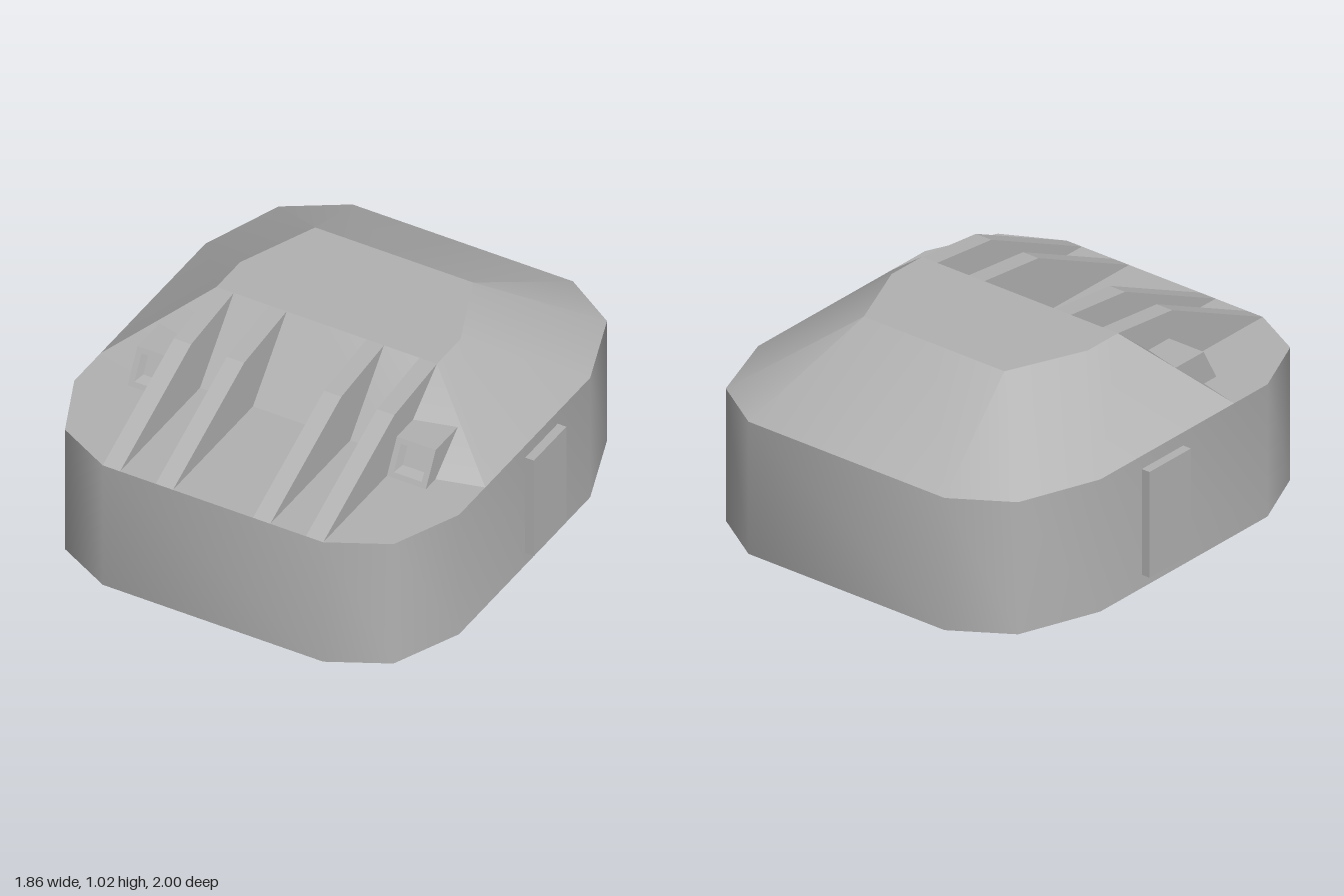
import * as THREE from 'three';
import { toCreasedNormals } from 'three/addons/utils/BufferGeometryUtils.js';

// Fan-triangulates convex polygons given for the +x side and mirrors them to -x
function polygons(polys, sides = [1, -1]) {
  const pos = [];
  for (const s of sides) {
    for (const poly of polys) {
      const p = s > 0 ? poly : [...poly].reverse();
      for (let i = 1; i < p.length - 1; i++) {
        for (const [x, y, z] of [p[0], p[i], p[i + 1]]) pos.push(s * x, y, z);
      }
    }
  }
  const geo = new THREE.BufferGeometry();
  geo.setAttribute('position', new THREE.Float32BufferAttribute(pos, 3));
  return geo;
}

const shapeOf = (pts) => new THREE.Shape(pts.map(([x, y]) => new THREE.Vector2(x, y)));

export function createModel() {
  const model = new THREE.Group();
  const grey = new THREE.MeshStandardMaterial({ color: 0xb2b2b2 });
  grey.name = 'grey';
  const openGrey = grey.clone();
  openGrey.side = THREE.DoubleSide;

  const add = (name, geo, mat = grey) => {
    const mesh = new THREE.Mesh(geo, mat);
    mesh.name = name;
    model.add(mesh);
    return mesh;
  };

  // Main body: twelve-cornered drum with softly shaded walls
  const half = [[0.51, -1], [0.76, -0.84], [0.89, -0.48], [0.89, 0.57], [0.76, 0.87], [0.51, 1]];
  const outline = [...half, ...half.map(([x, z]) => [-x, z]).reverse()];
  const body = new THREE.ExtrudeGeometry(shapeOf(outline), { depth: 0.6, bevelEnabled: false });
  body.rotateX(Math.PI / 2).translate(0, 0.72, 0);
  add('body', toCreasedNormals(body, 0.7));

  // Open mounting ring underneath
  const ring = new THREE.CylinderGeometry(0.61, 0.61, 0.12, 12, 1, true);
  add('baseRing', ring.translate(0, 0.06, 0.23), openGrey);

  // Sloping roof, cut away at the front
  const T = 1.02, B = 0.72;
  const topFront = [0.51, T, 0.09], topMid = [0.51, T, -0.1], topBack = [0.365, T, -0.45];
  const lowFront = [0.89, B, 0.36], lowMid = [0.89, B, -0.48];
  const lowCorner = [0.76, B, -0.84], lowBack = [0.51, B, -1];
  const midBack = [0, T, -0.45], midFront = [0, T, 0.09];
  add('roof', toCreasedNormals(polygons([
    [midBack, midFront, topFront, topMid, topBack],
    [topMid, topFront, lowFront, lowMid],
    [topMid, lowMid, topBack],
    [topBack, lowMid, lowCorner],
    [topBack, lowCorner, lowBack],
    [topBack, lowBack, [0, B, -1], midBack],
    [midFront, [0, B, 0.36], [0.51, B, 0.36], topFront],
    [topFront, [0.51, B, 0.46], lowFront],
  ]), 0.4));

  // Four ribs running down to the front edge
  const ribProfile = shapeOf([[0.09, T], [0.36, B], [1, B], [0.43, 0.985]]);
  for (const x of [-0.47, -0.225, 0.225, 0.47]) {
    const rib = new THREE.ExtrudeGeometry(ribProfile, { depth: 0.08, bevelEnabled: false });
    rib.rotateY(-Math.PI / 2).translate(x + 0.04, 0, 0);
    add('rib', rib);
  }

  // Lamp housings with a recessed, tilted front
  const rect = (x0, x1, t0, t1, depth) => [[x0, t0], [x1, t0], [x1, t1], [x0, t1]]
    .map(([x, t]) => [x, B + 0.145 * t, 0.49 - 0.08 * t - depth]);
  const rim = rect(0.51, 0.69, 0, 1, 0);
  const lip = rect(0.535, 0.665, 0.14, 0.86, 0);
  const pit = rect(0.55, 0.65, 0.22, 0.78, 0.04);
  const lamp = [
    pit,
    [rim[3], rim[2], [0.69, 0.865, 0.2], [0.51, 0.865, 0.2]],
    [rim[2], rim[1], [0.69, B, 0.2], [0.69, 0.865, 0.2]],
  ];
  for (let i = 0; i < 4; i++) {
    const j = (i + 1) % 4;
    lamp.push([rim[i], rim[j], lip[j], lip[i]], [lip[i], lip[j], pit[j], pit[i]]);
  }

  // Mirrored lamps and side plates
  for (const s of [1, -1]) {
    const side = s > 0 ? 'left' : 'right';
    add(side + 'Lamp', toCreasedNormals(polygons(lamp, [s]), 0.4));
    const plate = add(side + 'SidePlate', new THREE.BoxGeometry(0.06, 0.48, 0.26));
    plate.position.set(s * 0.9, 0.42, -0.09);
  }
  return model;
}
